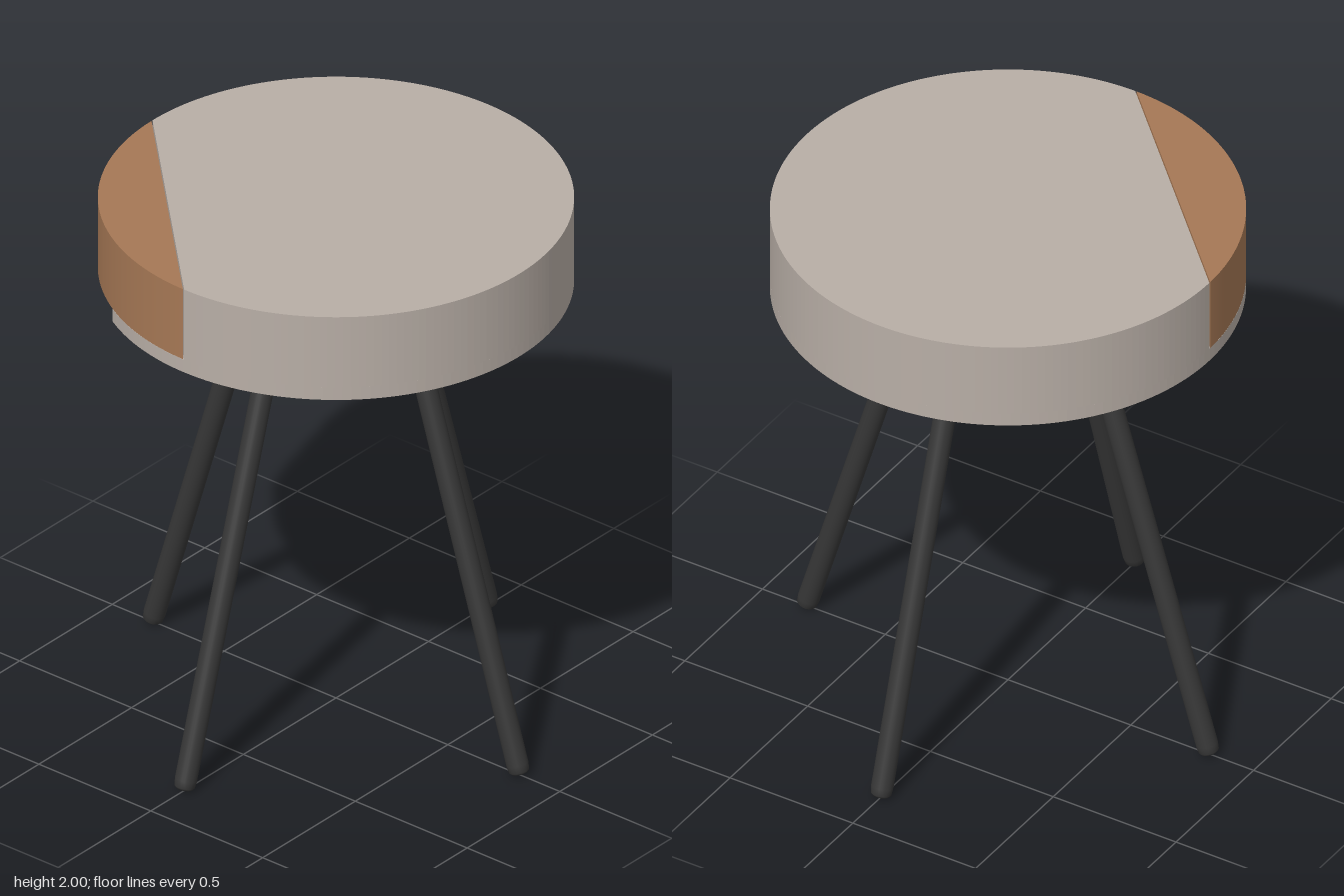
import * as THREE from 'three';

const R = 0.82, TOP = 2, LEDGE = 1.72, BOTTOM = 1.67;
const rad = THREE.MathUtils.degToRad;

function material(name, color) {
  const m = new THREE.MeshStandardMaterial({ color });
  m.name = name;
  return m;
}

// Closed outline in plan (x, z) made from an arc of the seat circle
function arcShape(from, to) {
  const s = new THREE.Shape();
  s.absarc(0, 0, R, rad(from), rad(to), false);
  return s;
}

// Horizontal slab between two heights
function slab(name, shape, low, high, mat) {
  const g = new THREE.ExtrudeGeometry(shape, { depth: high - low, bevelEnabled: false, curveSegments: 72 });
  g.rotateX(Math.PI / 2);
  g.translate(0, high, 0);
  const mesh = new THREE.Mesh(g, mat);
  mesh.name = name;
  return mesh;
}

export function createModel() {
  const group = new THREE.Group();
  group.name = 'stool';
  const grey = material('warm grey', 0xb8aea6);
  const brown = material('tan brown', 0xa67855);
  const black = material('charcoal', 0x363636);

  // Seat body with one corner segment cut off along a chord
  const body = arcShape(180, 450);
  body.closePath();
  group.add(slab('seatBody', body, LEDGE, TOP, grey));

  // Base plate with a finger notch under the insert
  const plate = arcShape(150, 480);
  plate.bezierCurveTo(-0.45, 0.52, -0.52, 0.45, R * Math.cos(rad(150)), R * Math.sin(rad(150)));
  group.add(slab('seatBase', plate, BOTTOM, LEDGE, grey));

  // Brown segment filling the cut, with a fine seam
  const insert = arcShape(90.4, 179.6);
  insert.closePath();
  group.add(slab('seatInsert', insert, LEDGE + 0.001, TOP, brown));

  // Four splayed legs with softened tips
  const footRadius = 0.82, topRadius = 0.315, footY = 0.01;
  const dx = footRadius - topRadius, dy = BOTTOM + 0.01 - footY;
  const length = Math.hypot(dx, dy);
  const profile = [[0, 0], [0.028, 0], [0.036, 0.008], [0.039, 0.035], [0.039, length], [0, length]]
    .map(([r, y]) => new THREE.Vector2(r, y));
  const legGeometry = new THREE.LatheGeometry(profile, 24);
  for (let i = 0; i < 4; i++) {
    const pivot = new THREE.Group();
    pivot.name = 'leg' + (i + 1);
    pivot.rotation.y = i * Math.PI / 2;
    const leg = new THREE.Mesh(legGeometry, black);
    leg.name = 'legRod';
    leg.position.set(footRadius, footY, 0);
    leg.rotation.z = Math.atan2(dx, dy);
    pivot.add(leg);
    group.add(pivot);
  }
  return group;
}
